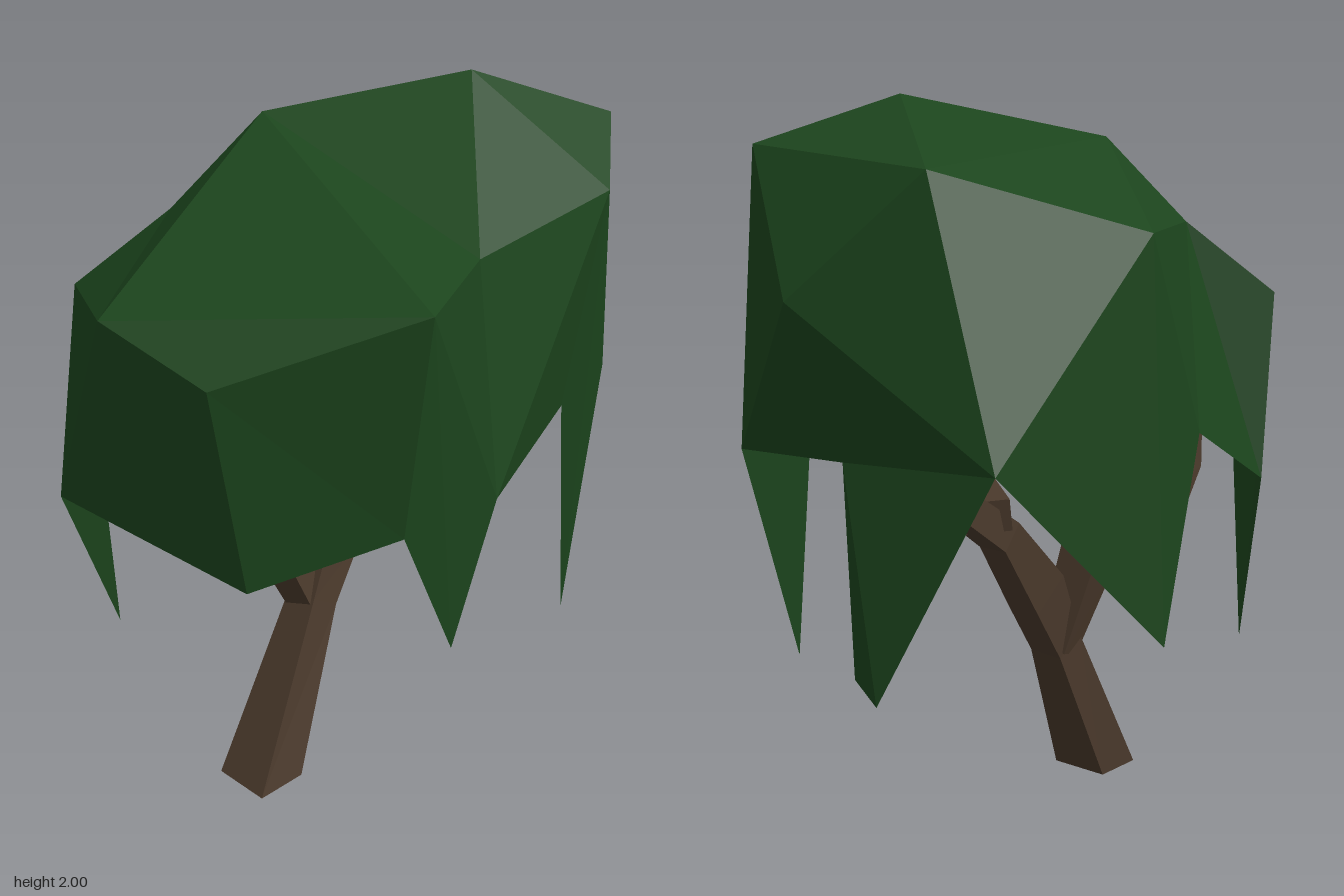
import * as THREE from 'three';

const leafGreen = new THREE.MeshStandardMaterial({ color: 0x1c451d, flatShading: true, side: THREE.DoubleSide });
leafGreen.name = 'leafGreen';
const barkBrown = new THREE.MeshStandardMaterial({ color: 0x4b3a2c, flatShading: true });
barkBrown.name = 'barkBrown';

function meshFrom(triangles, material, name) {
  const geometry = new THREE.BufferGeometry().setFromPoints(triangles);
  geometry.computeVertexNormals();
  const mesh = new THREE.Mesh(geometry, material);
  mesh.name = name;
  return mesh;
}

// Four-sided tapering limb through stations [x, y, z, half width, half depth], turned about y
function limb(name, stations, turn = 0) {
  const centres = stations.map(([x, y, z]) => new THREE.Vector3(x, y, z));
  const rings = centres.map((c, i) => {
    const [, , , halfW, halfD = halfW] = stations[i];
    const t = centres[Math.min(i + 1, centres.length - 1)].clone()
      .sub(centres[Math.max(i - 1, 0)]).normalize();
    if (c.y === 0) t.set(0, 1, 0); // sits flat on the ground
    const u = new THREE.Vector3(Math.cos(turn), 0, Math.sin(turn));
    u.addScaledVector(t, -u.dot(t)).normalize();
    const v = t.clone().cross(u);
    return [[1, 1], [-1, 1], [-1, -1], [1, -1]].map(([a, b]) =>
      c.clone().addScaledVector(u, a * halfW).addScaledVector(v, b * halfD));
  });
  const tris = [];
  const quad = (a, b, c, d) => tris.push(a, b, c, a, c, d);
  for (let i = 0; i < rings.length - 1; i++) {
    for (let k = 0; k < 4; k++) {
      const n = (k + 1) % 4;
      quad(rings[i][k], rings[i][n], rings[i + 1][n], rings[i + 1][k]);
    }
  }
  quad(...[...rings[0]].reverse());
  quad(...rings[rings.length - 1]);
  return meshFrom(tris, barkBrown, name);
}

// Crown corners: roof and shoulders, then the hanging rim, then the hollow underneath
const corner = {
  peak: [0.21, 2.0, -0.24], crest: [-0.26, 1.89, 0.04],
  backRight: [0.5, 1.87, -0.5], backTop: [-0.15, 1.81, -0.75],
  sideRight: [0.615, 1.74, -0.24], dip: [0.48, 1.67, 0.22],
  frontRight: [0.575, 1.68, 0.625], frontTop: [-0.17, 1.6, 0.865],
  brow: [0.13, 1.49, 0.865], frontLeft: [-0.62, 1.46, 0.42],
  fold: [-0.41, 1.66, 0.26], sideLeft: [-0.57, 1.66, -0.4],
  backMid: [0.2, 1.5, -0.82],
  rimChin: [0.19, 0.96, 0.82], rimFrontRight: [0.51, 1.11, 0.63],
  tipFrontRight: [0.53, 0.69, 0.41], notchRightA: [0.575, 1.07, 0.27],
  notchRightB: [0.535, 1.13, -0.2], tipBackRight: [0.53, 0.435, -0.3],
  rimBackRight: [0.485, 1.09, -0.61], strandTop: [0.12, 1.1, -0.7],
  strandInner: [0.09, 0.55, -0.71], strandOuter: [-0.065, 0.55, -0.865],
  rimBackLeft: [-0.35, 1.12, -0.8], tipBackLeft: [-0.6, 0.63, -0.36],
  notchLeftA: [-0.6, 1.14, -0.13], notchLeftB: [-0.61, 0.93, 0.38],
  tipFrontLeft: [-0.54, 0.435, 0.43], rimFrontLeft: [-0.37, 1.07, 0.82],
  hollowFront: [0, 1.38, 0.66], hollowLeft: [-0.37, 1.45, 0.38],
  hollowBack: [0, 1.3, -0.35],
};

// Each fan lists its hub, then the surrounding corners anticlockwise as seen from its open side
const crownFans = [
  'peak: dip sideRight backRight backTop crest dip',
  'crest: frontTop frontRight dip',
  'brow: rimFrontLeft rimChin rimFrontRight frontRight frontTop rimFrontLeft',
  'frontRight: rimFrontRight tipFrontRight notchRightA dip',
  'sideRight: dip notchRightA notchRightB tipBackRight rimBackRight backRight',
  'backMid: backTop backRight rimBackRight strandTop rimBackLeft backTop',
  'strandOuter: rimBackLeft strandTop strandInner',
  'sideLeft: crest backTop rimBackLeft tipBackLeft notchLeftA',
  'fold: frontTop crest sideLeft notchLeftA notchLeftB',
  'frontLeft: tipFrontLeft rimFrontLeft frontTop fold notchLeftB tipFrontLeft',
];
const undersideFans = [
  'hollowBack: hollowFront hollowLeft notchLeftA rimBackLeft strandTop rimBackRight notchRightB notchRightA hollowFront',
  'hollowFront: notchRightA rimFrontRight rimChin rimFrontLeft hollowLeft',
  'hollowLeft: rimFrontLeft notchLeftB notchLeftA',
  // backs of the hanging points
  'tipFrontLeft: notchLeftB rimFrontLeft',
  'tipBackLeft: rimBackLeft notchLeftA',
  'tipBackRight: notchRightB rimBackRight',
  'tipFrontRight: rimFrontRight notchRightA',
];

function foliage(name, fans) {
  const at = (key) => new THREE.Vector3(...corner[key]);
  const tris = [];
  for (const fan of fans) {
    const [hub, ring] = fan.split(': ');
    const keys = ring.split(' ');
    for (let i = 0; i < keys.length - 1; i++) tris.push(at(hub), at(keys[i]), at(keys[i + 1]));
  }
  return meshFrom(tris, leafGreen, name);
}

export function createModel() {
  const tree = new THREE.Group();
  tree.name = 'tree';
  tree.add(
    foliage('crown', crownFans),
    foliage('crownUnderside', undersideFans),
    // Leaning trunk running on into the rear limb
    limb('trunk', [[-0.113, 0, 0.35, 0.09, 0.078], [-0.105, 0.46, 0.07, 0.052],
      [-0.1, 0.64, -0.05, 0.05, 0.072], [-0.08, 0.84, -0.24, 0.045],
      [0.03, 1.13, -0.66, 0.03]], 0.25),
    limb('frontLimb', [[-0.11, 0.44, 0.07, 0.045], [-0.18, 0.72, 0.14, 0.058, 0.078],
      [-0.25, 1.0, 0.23, 0.045], [-0.27, 1.15, 0.26, 0.035]]),
    limb('frontTwig', [[-0.18, 0.75, 0.17, 0.055], [-0.32, 0.87, 0.4, 0.06, 0.04],
      [-0.31, 0.93, 0.56, 0.045, 0.035], [-0.31, 1.15, 0.64, 0.02]]),
    limb('rearTwig', [[-0.06, 0.9, -0.32, 0.085, 0.045], [0.11, 0.96, -0.02, 0.03],
      [0.13, 1.1, 0.0, 0.015]]),
  );
  return tree;
}
